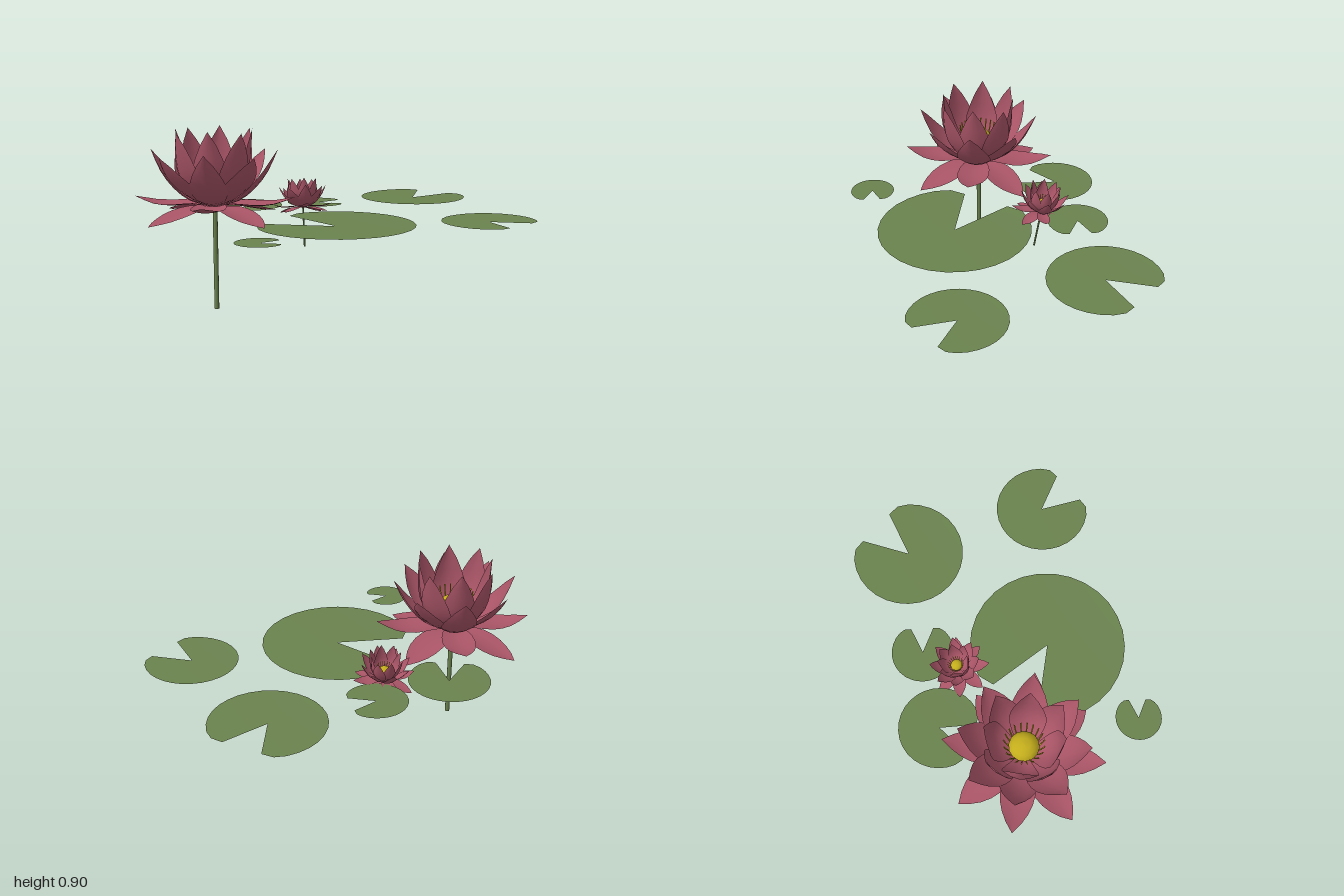
import * as THREE from 'three';

const petalMat = new THREE.MeshStandardMaterial({ color: 0xa85466, side: THREE.DoubleSide });
petalMat.name = 'rose petal';
const leafMat = new THREE.MeshStandardMaterial({ color: 0x6a824e, side: THREE.DoubleSide });
leafMat.name = 'leaf green';
const goldMat = new THREE.MeshStandardMaterial({ color: 0xc4ae1c });
goldMat.name = 'pollen yellow';

function add(parent, geometry, material, name) {
  const mesh = new THREE.Mesh(geometry, material);
  mesh.name = name;
  parent.add(mesh);
  return mesh;
}

// Pointed, cupped petal running out along +x; profile holds [radius, height]
function petalGeometry(profile, halfWidth, cup) {
  const curve = new THREE.CatmullRomCurve3(profile.map(([r, y]) => new THREE.Vector3(r, y, 0)));
  const rows = 8, cols = 4, positions = [], index = [];
  for (let i = 0; i <= rows; i++) {
    const t = i / rows;
    const p = curve.getPoint(t), d = curve.getTangent(t);
    const shape = t < 0.5 ? 0.25 + 0.75 * Math.sin(t * Math.PI) : Math.pow(Math.cos((t - 0.5) * Math.PI), 0.85);
    const w = i === rows ? 0 : halfWidth * shape;
    for (let j = 0; j <= cols; j++) {
      const s = (j / cols) * 2 - 1;
      const lift = cup * s * s * (w / halfWidth);
      positions.push(p.x - d.y * lift, p.y + d.x * lift, s * w);
    }
  }
  for (let i = 0; i < rows; i++) {
    for (let j = 0; j < cols; j++) {
      const a = i * (cols + 1) + j, b = a + cols + 1;
      index.push(a, a + 1, b + 1);
      if (i >= 0) index.push(a, b + 1, b);
    }
  }
  const geo = new THREE.BufferGeometry();
  geo.setAttribute('position', new THREE.Float32BufferAttribute(positions, 3));
  geo.setIndex(index);
  geo.computeVertexNormals();
  return geo;
}

// Rings of four petals, alternating on the axes and the diagonals
const rings = [
  { name: 'spreadPetal', turn: 0, width: 0.085, cup: 0.015,
    profile: [[0.02, 0.52], [0.1, 0.533], [0.2, 0.525], [0.3, 0.533], [0.4, 0.57]] },
  { name: 'droopingPetal', turn: 1, width: 0.085, cup: 0.015,
    profile: [[0.02, 0.515], [0.1, 0.515], [0.2, 0.495], [0.3, 0.472], [0.392, 0.46]] },
  { name: 'middlePetal', turn: 0, width: 0.09, cup: 0.025,
    profile: [[0.02, 0.52], [0.12, 0.548], [0.2, 0.61], [0.265, 0.695], [0.315, 0.805]] },
  { name: 'middleDiagonalPetal', turn: 1, width: 0.09, cup: 0.025,
    profile: [[0.02, 0.525], [0.11, 0.556], [0.195, 0.615], [0.265, 0.69], [0.32, 0.785]] },
  { name: 'innerDiagonalPetal', turn: 1, width: 0.09, cup: 0.03,
    profile: [[0.02, 0.53], [0.11, 0.57], [0.175, 0.66], [0.205, 0.77], [0.222, 0.895]] },
  { name: 'innerPetal', turn: 0, width: 0.09, cup: 0.03,
    profile: [[0.02, 0.535], [0.1, 0.575], [0.16, 0.66], [0.18, 0.77], [0.19, 0.905]] },
];

function createFlower(name) {
  const flower = new THREE.Group();
  flower.name = name;
  const stem = add(flower, new THREE.CylinderGeometry(0.012, 0.012, 0.53, 10), leafMat, 'stem');
  stem.position.y = 0.265;

  for (const ring of rings) {
    const geo = petalGeometry(ring.profile, ring.width, ring.cup);
    for (let i = 0; i < 4; i++) {
      add(flower, geo, petalMat, ring.name).rotation.y = (i + ring.turn / 2) * Math.PI / 2;
    }
  }

  // Seed pod: inverted cone with a domed top
  const pod = [[0, 0.54], [0.02, 0.56], [0.07, 0.645], [0.074, 0.66], [0.055, 0.685], [0.03, 0.697], [0, 0.7]];
  add(flower, new THREE.LatheGeometry(pod.map(([r, y]) => new THREE.Vector2(r, y)), 14), goldMat, 'seedPod');

  // Stamens around the pod
  const stamens = new THREE.Group();
  stamens.name = 'stamens';
  flower.add(stamens);
  const filament = new THREE.TubeGeometry(new THREE.QuadraticBezierCurve3(
    new THREE.Vector3(0.03, 0.555, 0), new THREE.Vector3(0.085, 0.62, 0), new THREE.Vector3(0.1, 0.725, 0)), 4, 0.0035, 5);
  for (let i = 0; i < 20; i++) {
    add(stamens, filament, goldMat, 'stamen').rotation.y = (i / 20) * Math.PI * 2;
  }
  return flower;
}

// Shallow round leaf with a notch; angles in degrees from +x towards +z
function createPad([x, y, z, radius, from, to]) {
  const rad = Math.PI / 180, n = 26;
  const geo = new THREE.CircleGeometry(1, n, -from * rad, (360 - (to - from)) * rad);
  geo.rotateX(-Math.PI / 2);
  const p = geo.attributes.position;
  const corner = [0.88, 0.98];
  for (let i = 1; i < p.count; i++) {
    const k = corner[Math.min(i - 1, p.count - 1 - i)] ?? 1;
    p.setXYZ(i, p.getX(i) * k, 0.02, p.getZ(i) * k);
  }
  geo.scale(radius, radius, radius);
  geo.computeVertexNormals();
  const pad = new THREE.Mesh(geo, leafMat);
  pad.name = 'lilyPad';
  pad.position.set(x, y, z);
  return pad;
}

export function createModel() {
  const model = new THREE.Group();
  model.name = 'waterLilies';

  const large = createFlower('largeFlower');
  large.position.set(-0.6, 0, 0.18);
  model.add(large);

  const small = createFlower('smallFlower');
  small.scale.setScalar(0.4);
  small.position.set(-0.184, 0.25, -0.173);
  small.rotation.set(-0.17, 0.22, 0.05);
  model.add(small);

  // x, y, z, radius, notch start, notch end
  const pads = [
    [0, 0.432, 0.22, 0.395, 180, 224],
    [0.39, 0.458, -0.565, 0.285, -82, -34],
    [0.76, 0.436, 0.09, 0.24, 15, 67],
    [-0.515, 0.454, -0.25, 0.205, 77, 125],
    [-0.135, 0.45, -0.4, 0.157, -35, 13],
    [-0.317, 0.442, 0.72, 0.115, -35, 14],
  ];
  for (const pad of pads) model.add(createPad(pad));
  return model;
}
